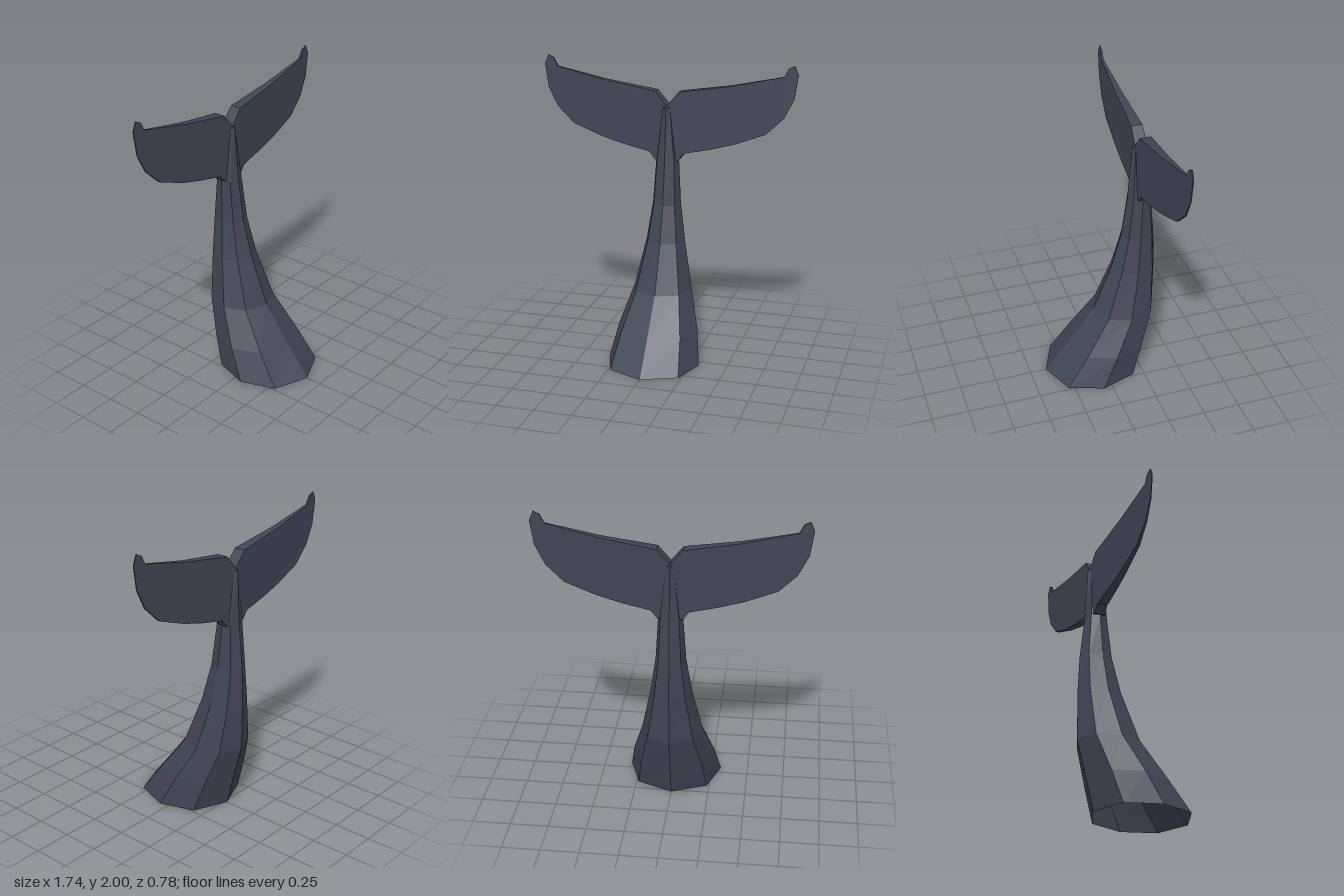
import * as THREE from 'three';

const SIDES = 8;
const TAIL_Z = -0.28;

// Cross-sections of the stock: height, half width, front z, middle z, back z
const RINGS = [
  [0, 0.315, 0.39, 0.06, -0.27],
  [0.21, 0.277, 0.225, -0.045, -0.322],
  [0.455, 0.203, 0.04, -0.17, -0.387],
  [0.78, 0.135, -0.087, -0.235, -0.392],
  [1.03, 0.098, -0.155, -0.26, -0.382],
  [1.32, 0.08, -0.195, -0.275, -0.352],
  [1.69, 0.03, -0.222, TAIL_Z, -0.335],
];

// Half outline of the flukes, from the notch round the tip to the root
const FLUKE = [
  [0, 1.7], [0.08, 1.795], [0.43, 1.85], [0.775, 1.925], [0.803, 1.98],
  [0.842, 2.0], [0.868, 1.94], [0.845, 1.78], [0.78, 1.65], [0.665, 1.54],
  [0.46, 1.463], [0.3, 1.42], [0.12, 1.382], [0.08, 1.33], [0, 1.33],
];

// Eight-sided curved stock, open at the base and closed at the top
function stockGeometry() {
  const positions = [];
  const indices = [];
  for (const [y, w, front, mid, back] of RINGS) {
    for (let j = 0; j < SIDES; j++) {
      const a = (j / SIDES) * Math.PI * 2;
      const c = Math.cos(a);
      const x = w * Math.sin(a) * (j % 2 ? 1.05 : 1);
      positions.push(x, y, mid + c * (c > 0 ? front - mid : mid - back));
    }
  }
  const top = RINGS.length * SIDES;
  positions.push(0, 1.705, TAIL_Z);
  for (let i = 0; i < RINGS.length; i++) {
    for (let j = 0; j < SIDES; j++) {
      const a = i * SIDES + j;
      const b = i * SIDES + ((j + 1) % SIDES);
      if (i === RINGS.length - 1) indices.push(a, b, top);
      else indices.push(a, b, b + SIDES, a, b + SIDES, a + SIDES);
    }
  }
  const indexed = new THREE.BufferGeometry();
  indexed.setAttribute('position', new THREE.Float32BufferAttribute(positions, 3));
  indexed.setIndex(indices);
  const geometry = indexed.toNonIndexed();
  geometry.computeVertexNormals();
  return geometry;
}

// One fluke: a slab that thins steadily from the root to the tip
function flukeGeometry(side) {
  const shape = new THREE.Shape(FLUKE.map(([x, y]) => new THREE.Vector2(side * x, y)));
  const geometry = new THREE.ExtrudeGeometry(shape, { depth: 1, bevelEnabled: false });
  const p = geometry.attributes.position;
  for (let i = 0; i < p.count; i++) {
    const half = 0.003 + 0.038 * (1 - Math.abs(p.getX(i)) / 0.868);
    p.setZ(i, TAIL_Z + (p.getZ(i) - 0.5) * 2 * half);
  }
  geometry.computeVertexNormals();
  return geometry;
}

export function createModel() {
  const model = new THREE.Group();
  model.name = 'whaleTail';
  const skin = new THREE.MeshStandardMaterial({
    color: 0x404554, flatShading: true, side: THREE.DoubleSide,
  });
  skin.name = 'slate skin';

  const add = (name, geometry) => {
    const mesh = new THREE.Mesh(geometry, skin);
    mesh.name = name;
    model.add(mesh);
  };
  add('tailStock', stockGeometry());
  add('leftFluke', flukeGeometry(1));
  add('rightFluke', flukeGeometry(-1));
  return model;
}
